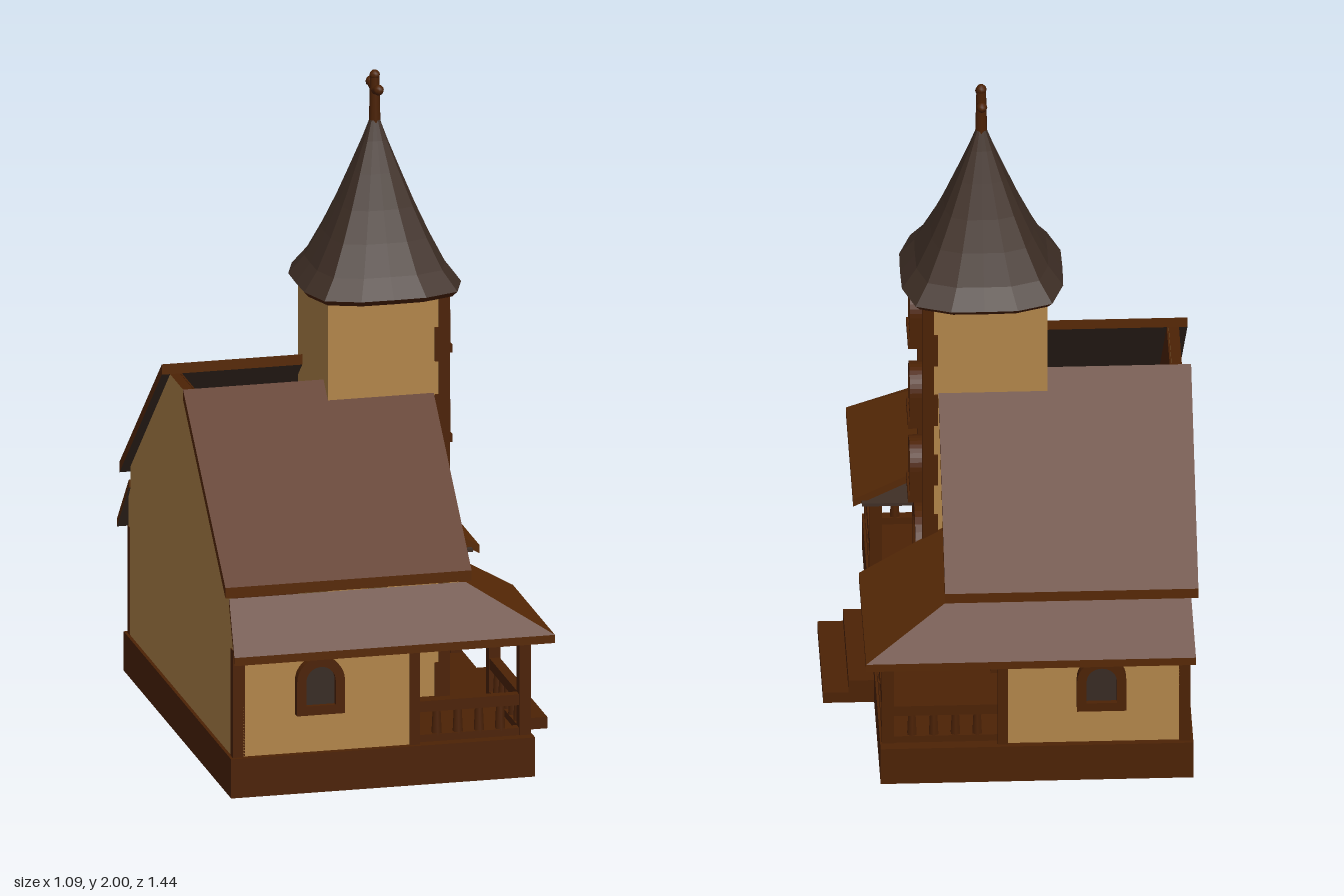
import * as THREE from 'three';

const mat = (name, color) => {
  const m = new THREE.MeshStandardMaterial({ color });
  m.name = name;
  return m;
};

export function createModel() {
  const root = new THREE.Group();
  const roofBrown = mat('roof brown', 0x572906);
  const timber = mat('timber brown', 0x4c2205);
  const plaster = mat('tan plaster', 0xb2854a);
  const slate = mat('dark slate', 0x3f2f26);
  const pane = mat('window pane', 0x382b24);

  const add = (name, geo, material, parent = root) => {
    const m = new THREE.Mesh(geo, material);
    m.name = name;
    parent.add(m);
    return m;
  };
  // box given by its minimum and maximum on each axis
  const box = (name, x0, x1, y0, y1, z0, z1, material) =>
    add(name, new THREE.BoxGeometry(Math.abs(x1 - x0), y1 - y0, Math.abs(z1 - z0)), material)
      .position.set((x0 + x1) / 2, (y0 + y1) / 2, (z0 + z1) / 2);

  // roof panel: top corners, given a vertical thickness and a dark underside
  const slab = (name, corners, t) => {
    const c = corners.map(p => new THREE.Vector3(...p));
    const n = c[1].clone().sub(c[0]).cross(c[2].clone().sub(c[0]));
    if (n.y < 0) c.reverse();
    const low = c.map(p => p.clone().setY(p.y - t));
    const pts = [];
    const quad = (a, b, d, e) => pts.push(a, b, d, a, d, e);
    quad(...c);
    for (let i = 0; i < 4; i++) {
      const j = (i + 1) % 4;
      quad(c[i], low[i], low[j], c[j]);
    }
    quad(low[3], low[2], low[1], low[0]);
    const g = new THREE.BufferGeometry().setFromPoints(pts);
    g.addGroup(0, 30, 0);
    g.addGroup(30, 6, 1);
    g.computeVertexNormals();
    add(name, g, [roofBrown, slate]);
  };

  // symmetric upright wall lying across z, extruded along x; half outline runs from bottom to top
  const crossWall = (name, half, x, depth, material) => {
    const pts = [...half, ...half.map(([z, y]) => [-z, y]).reverse()];
    const shape = new THREE.Shape(pts.map(p => new THREE.Vector2(...p)));
    const g = new THREE.ExtrudeGeometry(shape, { depth, bevelEnabled: false });
    g.rotateY(Math.PI / 2);
    add(name, g, material).position.x = x;
  };

  // arched outline standing on y = y0
  const arch = (Type, w, h, y0) => {
    const r = w / 2, s = new Type();
    s.moveTo(-r, y0);
    s.lineTo(r, y0);
    s.lineTo(r, y0 + h - r);
    s.absarc(0, y0 + h - r, r, 0, Math.PI, false);
    s.lineTo(-r, y0);
    return s;
  };
  // arched frame with a filled opening, facing +z before it is turned
  const opening = (name, w, h, border, depth, fill, pos, turn) => {
    const g = new THREE.Group();
    g.name = name;
    const frame = arch(THREE.Shape, w, h, 0);
    const iw = w - 2 * border, ih = h - 2 * border;
    frame.holes.push(arch(THREE.Path, iw, ih, border));
    add('frame', new THREE.ExtrudeGeometry(frame, { depth, bevelEnabled: false, curveSegments: 8 }), timber, g);
    add('panel', new THREE.ShapeGeometry(arch(THREE.Shape, iw, ih, border), 8), fill, g).position.z = 0.015;
    g.position.set(...pos);
    g.rotation.y = turn;
    root.add(g);
  };

  // base: a hollow skirting with a thin porch deck, open beneath
  box('porchDeck', 0.02, 0.37, 0.1, 0.12, -0.63, 0.63, timber);
  box('baseFront', 0.36, 0.39, 0, 0.12, -0.66, 0.66, timber);
  box('baseBack', -0.53, -0.49, 0, 0.12, -0.66, 0.66, timber);
  for (const s of [1, -1]) box('baseSide', -0.49, 0.36, 0, 0.12, s * 0.62, s * 0.66, timber);
  box('upperStep', 0.39, 0.465, 0, 0.075, -0.2, 0.2, timber);
  box('lowerStep', 0.465, 0.54, 0, 0.035, -0.2, 0.2, timber);

  // gable walls
  const backOutline = [[0.64, 0.12], [0.64, 0.55], [0.615, 0.595], [0.615, 0.64], [0.13, 1.068]];
  crossWall('backWall', backOutline, -0.52, 0.03, [plaster, timber]);
  crossWall('backWallLining', backOutline, -0.489, 0.005, timber);
  crossWall('frontGable', [[0.61, 0.575], [0.61, 0.645], [0.13, 1.068]], 0.14, 0.03, plaster);

  for (const s of [1, -1]) {
    // side and porch walls with their corner timbers
    const sideFaces = [plaster, plaster, plaster, plaster, s > 0 ? plaster : timber, s > 0 ? timber : plaster];
    box('sideWall', -0.49, 0.02, 0.12, 0.54, s * 0.61, s * 0.64, sideFaces);
    box('porchWall', 0, 0.03, 0.12, 0.54, s * 0.18, s * 0.64, plaster);
    box('porchCeiling', 0.03, 0.41, 0.437, 0.447, s * 0.185, s * 0.69, slate);
    box('backCorner', -0.522, -0.49, 0.12, 0.45, s * 0.62, s * 0.647, timber);
    box('frontCorner', 0.015, 0.045, 0.12, 0.44, s * 0.62, s * 0.647, timber);
    box('wallPlate', -0.5, 0.03, 0.41, 0.44, s * 0.62, s * 0.646, timber);
    opening('sideWindow', 0.145, 0.175, 0.028, 0.03, pane, [-0.26, 0.24, s * 0.638], s > 0 ? 0 : Math.PI);
    opening('porchWindow', 0.145, 0.175, 0.028, 0.03, pane, [0.028, 0.24, s * 0.37], Math.PI / 2);

    // main roof slope, leaving the ridge open
    slab('mainRoof', [[-0.545, 0.645, s * 0.65], [0.2, 0.645, s * 0.65], [0.2, 1.1, s * 0.13], [-0.545, 1.1, s * 0.13]], 0.032);
    // lower roof around side and porch
    slab('sideSkirtRoof', [[-0.535, 0.45, s * 0.72], [0.435, 0.45, s * 0.72], [0.19, 0.6, s * 0.615], [-0.525, 0.6, s * 0.615]], 0.025);
    slab('porchRoof', [[0.435, 0.45, s * 0.72], [0.435, 0.45, s * 0.205], [0.165, 0.6, s * 0.18], [0.165, 0.6, s * 0.615]], 0.025);

    // porch posts and beams
    for (const z of [0.61, 0.235]) box('porchPost', 0.35, 0.385, 0.12, 0.44, s * (z - 0.018), s * (z + 0.018), timber);
    box('porchBeamFront', 0.35, 0.385, 0.42, 0.44, s * 0.22, s * 0.63, timber);
    box('porchBeamSide', 0.03, 0.37, 0.42, 0.44, s * 0.595, s * 0.625, timber);
    // railings
    for (const [y0, y1] of [[0.12, 0.142], [0.212, 0.245]]) {
      box('frontRail', 0.352, 0.383, y0, y1, s * 0.24, s * 0.61, timber);
      box('sideRail', 0.03, 0.36, y0, y1, s * 0.595, s * 0.625, timber);
    }
    const balusterGeo = new THREE.CylinderGeometry(0.012, 0.016, 0.08, 6);
    for (let i = 1; i <= 5; i++)
      add('frontBaluster', balusterGeo, timber).position.set(0.367, 0.177, s * (0.235 + i * 0.0625));
    for (let i = 1; i <= 4; i++)
      add('sideBaluster', balusterGeo, timber).position.set(0.04 + i * 0.064, 0.177, s * 0.61);

    // uneven corner timbers up the tower
    for (let i = 0; i < 12; i++) {
      const w = i % 2 ? 0.028 : 0.04, y = 0.12 + i * 0.103;
      box('towerQuoin', 0.242 - w, 0.248, y, y + 0.103, s * (0.192 - w), s * 0.193, timber);
    }
  }

  // tower with a dark underside, door and three stacked windows
  box('tower', -0.12, 0.235, 0.095, 1.36, -0.185, 0.185, [plaster, plaster, plaster, slate, plaster, plaster]);
  opening('door', 0.25, 0.43, 0.03, 0.03, roofBrown, [0.234, 0.12, 0], Math.PI / 2);
  for (const y of [0.61, 0.865, 1.14]) {
    opening('towerWindow', 0.145, 0.175, 0.028, 0.045, pane, [0.234, y, 0], Math.PI / 2);
    box('windowSill', 0.234, 0.285, y - 0.005, y + 0.02, -0.07, 0.07, timber);
  }

  // flared spire: a turned profile pushed out to a rounded square
  const spirePart = (name, profile, material) => {
    let g = new THREE.LatheGeometry(profile.map(p => new THREE.Vector2(...p)), 16);
    const p = g.attributes.position;
    for (let i = 0; i < p.count; i++) {
      const x = p.getX(i), z = p.getZ(i), r = Math.hypot(x, z);
      if (r < 1e-5) continue;
      const k = Math.pow(Math.abs(x / r) ** 4 + Math.abs(z / r) ** 4, -0.25);
      p.setXYZ(i, x * k, p.getY(i), z * k);
    }
    g = g.toNonIndexed();
    g.computeVertexNormals();
    add(name, g, material).position.x = 0.067;
  };
  spirePart('spireEave', [[0, 1.352], [0.224, 1.345], [0.239, 1.362]], timber);
  spirePart('spire', [[0.239, 1.362], [0.195, 1.42], [0.15, 1.51], [0.11, 1.6], [0.07, 1.7], [0.035, 1.79], [0.014, 1.85], [0, 1.86]], slate);

  // finial cross with budded ends
  const cross = new THREE.Group();
  cross.name = 'finialCross';
  cross.position.x = 0.067;
  root.add(cross);
  add('post', new THREE.CylinderGeometry(0.014, 0.018, 0.17, 8), timber, cross).position.y = 1.905;
  const bud = new THREE.SphereGeometry(0.016, 8, 6);
  add('topBud', bud, timber, cross).position.y = 1.984;
  for (const s of [1, -1]) {
    const arm = add('arm', new THREE.CylinderGeometry(0.013, 0.013, 0.055, 8), timber, cross);
    arm.position.set(0, 1.943, s * 0.025);
    arm.rotation.x = s * (Math.PI / 2 - 0.25);
    add('armBud', bud, timber, cross).position.set(0, 1.951, s * 0.048);
  }
  return root;
}
